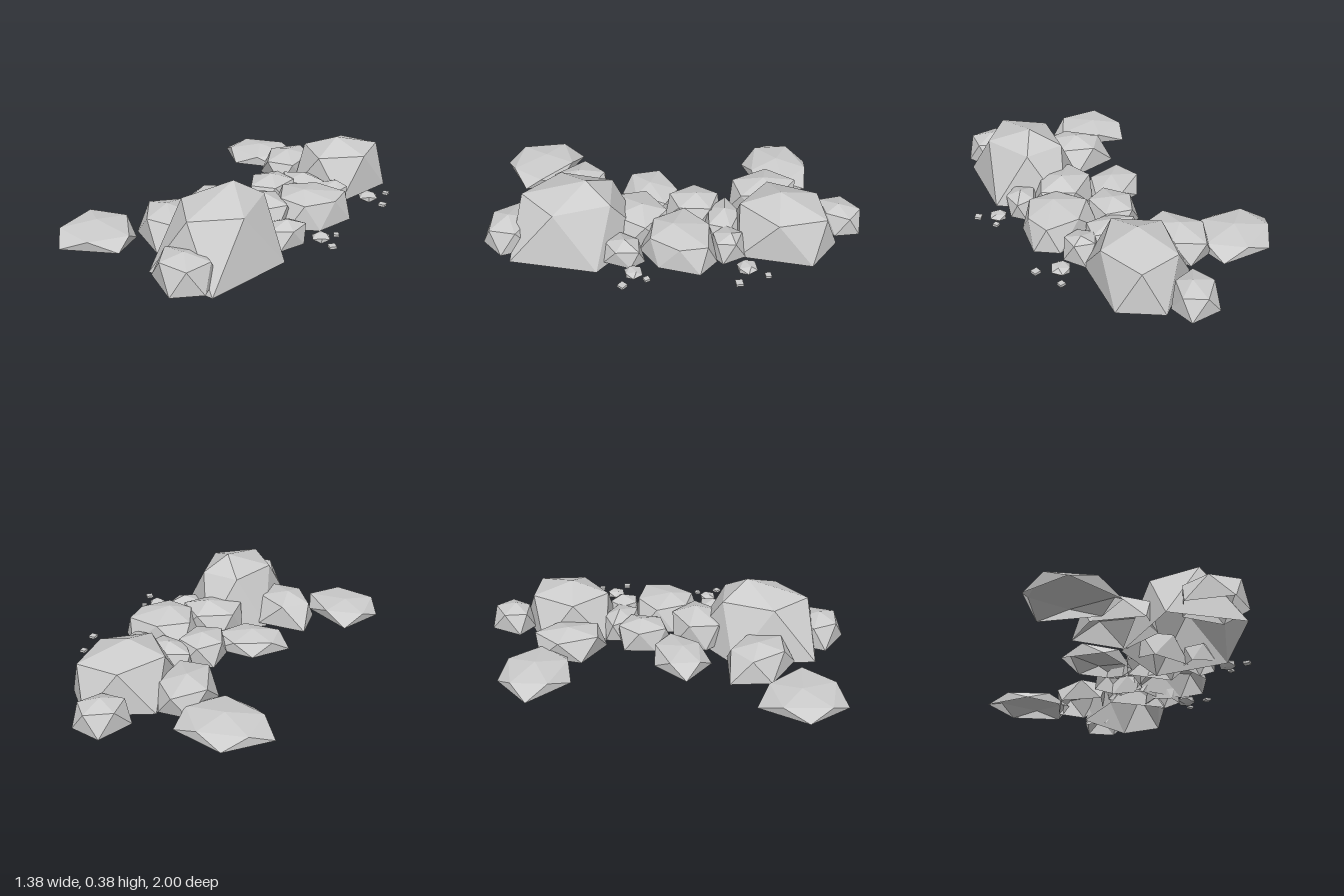
import * as THREE from 'three';

const stone = new THREE.MeshStandardMaterial({ color: 0xcccccc, flatShading: true, side: THREE.DoubleSide });
stone.name = 'grey stone';

// Open-bottomed faceted boulder: ground outline, a staggered shoulder ring and a peak.
// outline: [x, z] corners; peak: [x, y, z]; k: shoulder spread relative to the outline
function boulder(name, outline, floor, shoulder, peak, k) {
  const n = outline.length;
  let area = 0;
  outline.forEach(([x, z], i) => {
    const [x2, z2] = outline[(i + 1) % n];
    area += x * z2 - x2 * z;
  });
  const corners = area > 0 ? [...outline].reverse() : outline;
  const cx = corners.reduce((s, p) => s + p[0], 0) / n;
  const cz = corners.reduce((s, p) => s + p[1], 0) / n;
  const base = corners.map(([x, z]) => [x, floor, z]);
  const ring = corners.map(([x, z], i) => {
    const [x2, z2] = corners[(i + 1) % n];
    return [cx + ((x + x2) / 2 - cx) * k, shoulder, cz + ((z + z2) / 2 - cz) * k];
  });
  const pos = [];
  for (let i = 0; i < n; i++) {
    const j = (i + 1) % n;
    pos.push(...base[i], ...base[j], ...ring[i]);
    pos.push(...ring[i], ...base[j], ...ring[j]);
    pos.push(...ring[i], ...ring[j], ...peak);
  }
  const geo = new THREE.BufferGeometry();
  geo.setAttribute('position', new THREE.Float32BufferAttribute(pos, 3));
  geo.computeVertexNormals();
  const mesh = new THREE.Mesh(geo, stone);
  mesh.name = name;
  return mesh;
}

export function createModel() {
  const group = new THREE.Group();
  group.name = 'rockFormation';
  const add = (...args) => group.add(boulder(...args));

  // Front cluster
  add('frontLargeBoulder', [[0.435, 0.42], [0.3, 0.86], [-0.08, 0.81], [-0.11, 0.36], [0.17, 0.14]],
    0, 0.292, [0.165, 0.38, 0.44], 0.8);
  add('frontSmallBoulder', [[0.29, 0.9], [0.165, 0.995], [-0.02, 0.87], [0.04, 0.73], [0.25, 0.73]],
    0.035, 0.155, [0.15, 0.19, 0.85], 1);
  add('frontSideBoulder', [[-0.355, 0.33], [-0.34, 0.55], [-0.12, 0.69], [0, 0.55], [-0.08, 0.33]],
    0.03, 0.155, [-0.2, 0.193, 0.48], 0.95);
  add('frontFlatRock', [[-0.56, 0.45], [-0.3, 0.61], [-0.27, 0.79], [-0.55, 0.9], [-0.69, 0.69]],
    0.035, 0.09, [-0.5, 0.112, 0.67], 1.06);

  // Middle cluster
  add('middleFrontBoulder', [[0.05, 0.04], [-0.02, 0.22], [0.08, 0.33], [0.3, 0.27], [0.3, 0.05]],
    0.03, 0.165, [0.17, 0.21, 0.16], 1.1);
  add('middleFrontSmallRock', [[0.27, 0.24], [0.41, 0.17], [0.455, 0.25], [0.39, 0.38], [0.28, 0.34]],
    0.025, 0.115, [0.37, 0.15, 0.27], 1.12);
  add('middleFlatRock', [[-0.19, -0.06], [0.03, -0.05], [0.05, 0.1], [-0.16, 0.245], [-0.34, 0.11]],
    0.035, 0.1, [-0.13, 0.125, 0.09], 1.03);
  add('middleLargeBoulder', [[0.18, -0.16], [0.47, -0.19], [0.56, -0.09], [0.48, 0.11], [0.33, 0.19], [0.16, 0.04]],
    0.04, 0.17, [0.34, 0.205, 0.02], 0.95);
  add('middleSideBoulder', [[-0.04, -0.23], [0.13, -0.27], [0.2, -0.12], [0.08, 0.03], [-0.04, -0.06]],
    0.035, 0.145, [0.07, 0.18, -0.14], 1.1);
  add('middleBackRock', [[0.08, -0.34], [0.31, -0.35], [0.33, -0.21], [0.22, -0.155], [0.075, -0.25]],
    0.03, 0.13, [0.2, 0.165, -0.27], 1.1);
  add('middleBackSmallRock', [[0.3, -0.31], [0.43, -0.345], [0.475, -0.22], [0.4, -0.17], [0.31, -0.21]],
    0.02, 0.13, [0.4, 0.16, -0.27], 1.08);

  // Back cluster
  add('backLargeBoulder', [[0.06, -0.69], [0.375, -0.84], [0.54, -0.67], [0.42, -0.31], [0.1, -0.34]],
    0.015, 0.235, [0.28, 0.305, -0.54], 0.95);
  add('backSmallBoulder', [[0.19, -1], [0.35, -0.97], [0.35, -0.84], [0.22, -0.76], [0.11, -0.83]],
    0.04, 0.145, [0.25, 0.175, -0.87], 1.02);
  add('backSideBoulder', [[-0.165, -0.45], [-0.11, -0.68], [0.05, -0.69], [0.1, -0.48], [0.03, -0.33]],
    0.03, 0.14, [-0.03, 0.175, -0.53], 1.17);
  add('backFlatRock', [[-0.545, -0.68], [-0.35, -0.86], [-0.08, -0.79], [-0.09, -0.54], [-0.36, -0.48]],
    0.035, 0.088, [-0.29, 0.115, -0.67], 1);

  // Loose pebbles
  for (const [x, z, r] of [[0.57, -0.32, 0.056], [0.54, 0.24, 0.05]]) {
    const pebble = new THREE.Mesh(new THREE.IcosahedronGeometry(r, 0), stone);
    pebble.name = 'pebble';
    pebble.position.set(x, 0.08, z);
    pebble.scale.y = 0.5;
    pebble.rotation.y = 0.5;
    group.add(pebble);
  }

  // Flat stone chips
  for (const [x, z, size, turn] of [[0.64, -0.41, 0.03, 0], [0.675, -0.26, 0.036, 0],
    [0.595, 0.18, 0.028, 0.4], [0.625, 0.3, 0.036, 0.75]]) {
    const chip = new THREE.Mesh(new THREE.BoxGeometry(size, 0.013, size), stone);
    chip.name = 'stoneChip';
    chip.position.set(x, 0.08, z);
    chip.rotation.y = turn;
    group.add(chip);
  }
  return group;
}
